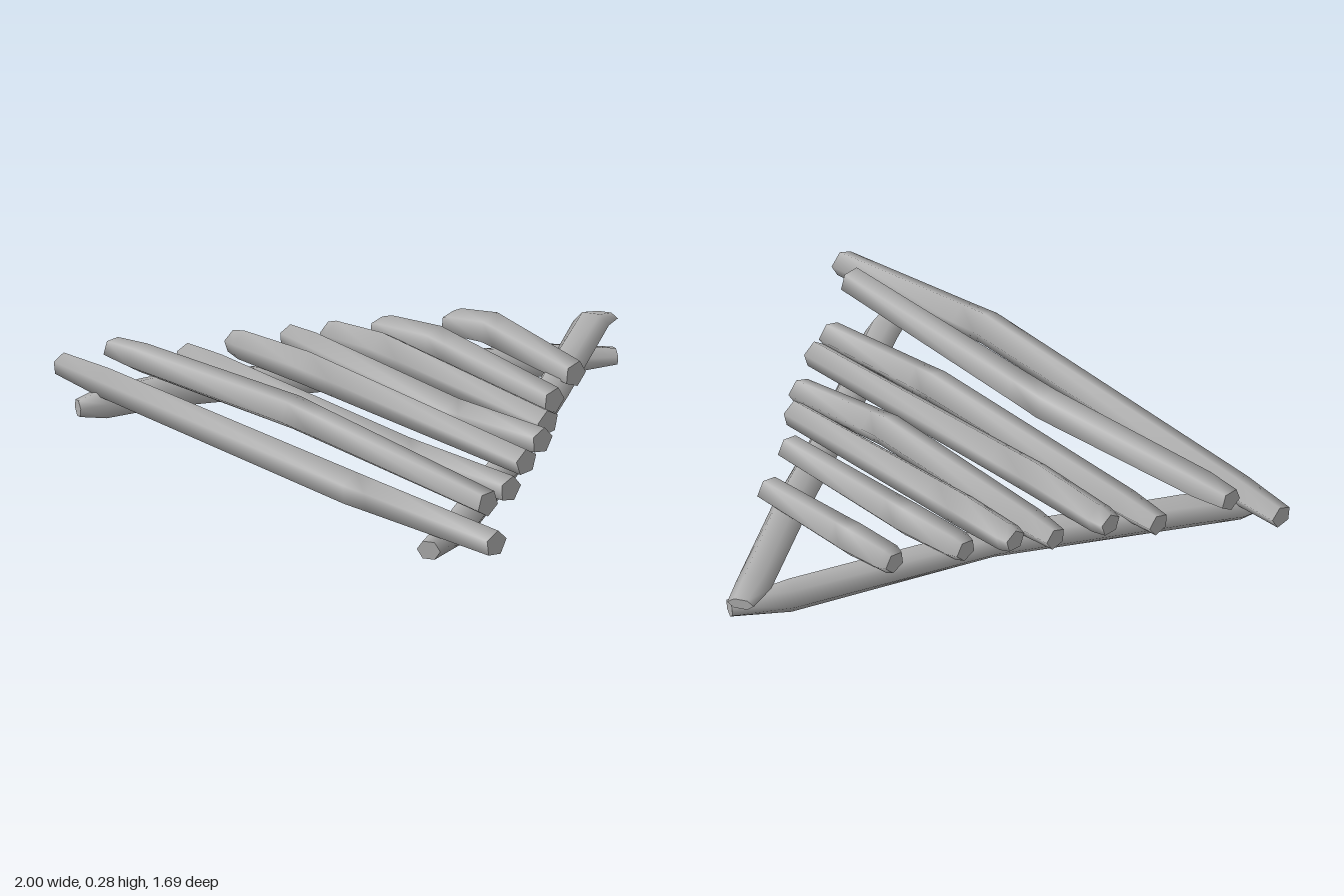
import * as THREE from 'three';

const wood = new THREE.MeshStandardMaterial({ color: 0xb0b0b0 });
wood.name = 'greyWood';

// Bent stick: each station is [x, y, z, halfWidth, halfHeight]; smooth sides, flat cut ends
function stick(name, stations, turn, sides) {
  const pos = [], idx = [];
  const a = stations[0], b = stations[stations.length - 1];
  const dir = new THREE.Vector3(b[0] - a[0], 0, b[2] - a[2]).normalize();
  const side = new THREE.Vector3(-dir.z, 0, dir.x);
  const ring = ([x, y, z, w, h]) => {
    for (let i = 0; i < sides; i++) {
      const t = turn + (i / sides) * Math.PI * 2;
      const c = Math.cos(t) * w;
      pos.push(x + side.x * c, y + Math.sin(t) * h, z + side.z * c);
    }
  };
  stations.forEach(ring);
  for (let s = 0; s < stations.length - 1; s++) {
    for (let i = 0; i < sides; i++) {
      const p = s * sides + i, q = s * sides + (i + 1) % sides;
      idx.push(p, p + sides, q, q, p + sides, q + sides);
    }
  }
  // cut ends have their own corners so their edges stay sharp
  [a, b].forEach((end, e) => {
    const start = pos.length / 3;
    ring(end);
    for (let i = 1; i < sides - 1; i++) {
      if (e) idx.push(start, start + i + 1, start + i);
      else idx.push(start, start + i, start + i + 1);
    }
  });
  const g = new THREE.BufferGeometry();
  g.setAttribute('position', new THREE.Float32BufferAttribute(pos, 3));
  g.setIndex(idx);
  g.computeVertexNormals();
  const mesh = new THREE.Mesh(g, wood);
  mesh.name = name;
  return mesh;
}

// Crosspiece: straight from each end to one bend, with narrowed tips
function rung(name, { left, right, z, y, bend, turn }) {
  const [bx, by, bz] = bend;
  const at = (end, t, w, h) => [
    THREE.MathUtils.lerp(end, bx, t), THREE.MathUtils.lerp(y, by, t), THREE.MathUtils.lerp(z, bz, t), w, h,
  ];
  return stick(name, [
    at(left, 0, 0.042, 0.038),
    at(left, 0.15, 0.054, 0.05),
    at(left, 1, 0.058, 0.058),
    at(right, 0.85, 0.055, 0.056),
    at(right, 0, 0.047, 0.045),
  ], turn, 5);
}

export function createModel() {
  const model = new THREE.Group();
  model.name = 'woodenDragFrame';

  // Two long poles that cross at the back
  model.add(stick('rightPole', [
    [-0.825, 0.095, 0.82, 0.035, 0.03],
    [-0.79, 0.10, 0.74, 0.055, 0.055],
    [-0.70, 0.115, 0.56, 0.055, 0.06],
    [-0.38, 0.11, 0.02, 0.055, 0.055],
    [-0.08, 0.06, -0.60, 0.05, 0.06],
    [0.02, 0.05, -0.78, 0.035, 0.03],
  ], 0.3, 6));
  model.add(stick('leftPole', [
    [0.78, 0.10, 0.81, 0.04, 0.035],
    [0.70, 0.092, 0.60, 0.055, 0.055],
    [0.42, 0.088, 0.08, 0.055, 0.058],
    [0.21, 0.125, -0.30, 0.06, 0.058],
    [-0.05, 0.155, -0.74, 0.06, 0.04],
    [-0.08, 0.14, -0.83, 0.045, 0.02],
  ], 0, 6));

  // Eight rungs from back to front, widening with the poles
  [
    { left: -0.32, right: 0.26, z: -0.365, y: 0.19, bend: [-0.15, 0.21, -0.39], turn: 0.75 },
    { left: -0.44, right: 0.37, z: -0.16, y: 0.195, bend: [-0.2, 0.21, -0.185], turn: 0.75 },
    { left: -0.52, right: 0.49, z: -0.015, y: 0.2, bend: [-0.28, 0.215, -0.025], turn: 0.25 },
    { left: -0.6, right: 0.57, z: 0.09, y: 0.195, bend: [0.22, 0.19, 0.14], turn: 0.55 },
    { left: -0.68, right: 0.67, z: 0.26, y: 0.205, bend: [-0.33, 0.22, 0.26], turn: 0.3 },
    { left: -0.76, right: 0.74, z: 0.4, y: 0.175, bend: [0.3, 0.17, 0.44], turn: 0.6 },
    { left: -0.88, right: 0.85, z: 0.61, y: 0.225, bend: [-0.1, 0.23, 0.56], turn: 0.95 },
    { left: -1, right: 1, z: 0.72, y: 0.165, bend: [0.4, 0.185, 0.775], turn: 0.5 },
  ].forEach((shape, i) => model.add(rung(`rung${i + 1}`, shape)));

  return model;
}
